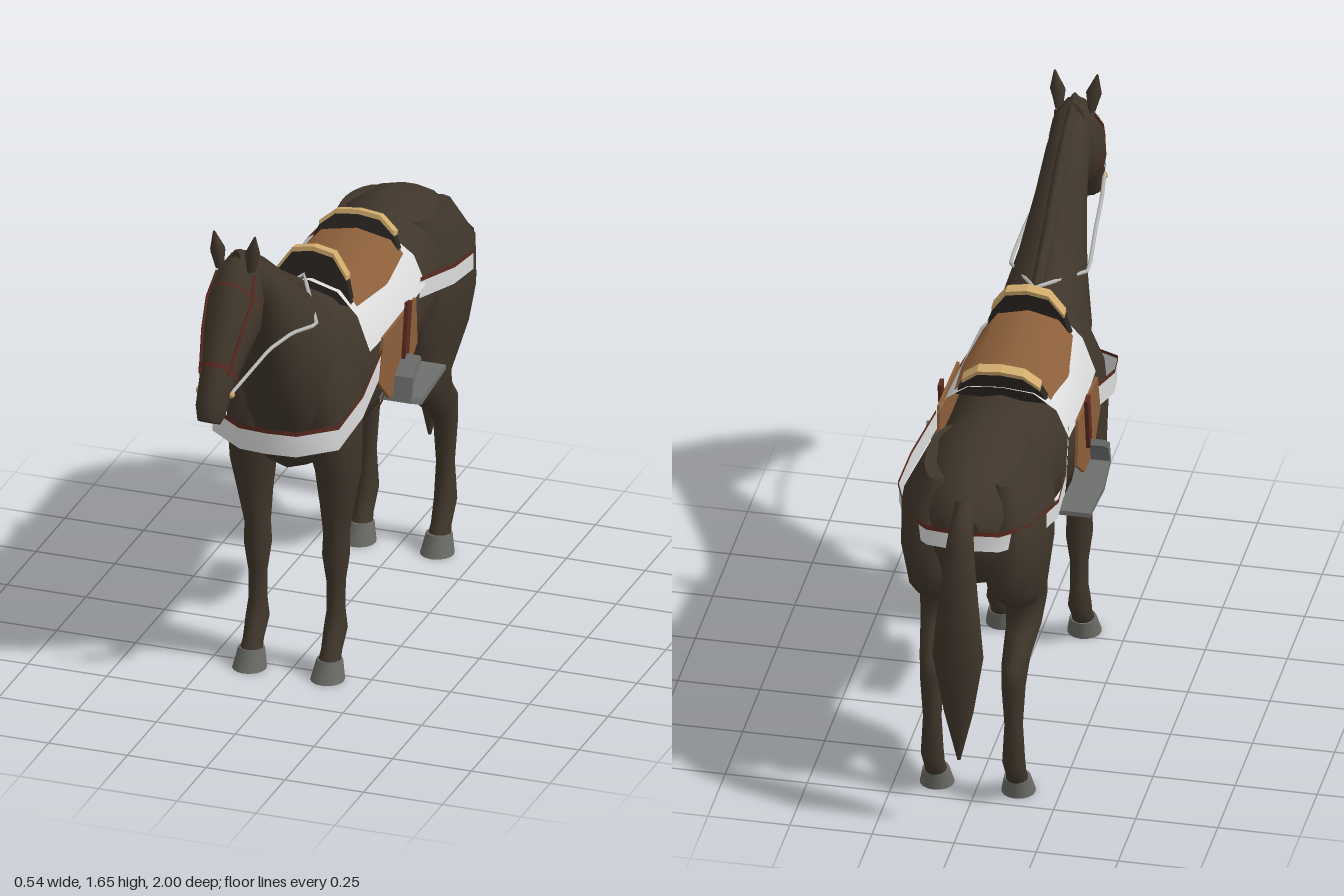
import * as THREE from 'three';

const mat = (name, color, side = THREE.FrontSide) => {
  const m = new THREE.MeshStandardMaterial({ color, side });
  m.name = name;
  return m;
};

export function createModel() {
  const model = new THREE.Group();
  const coat = mat('darkCoat', 0x40362b);
  const hoofGrey = mat('hoofGrey', 0x6a6a66);
  const cloth = mat('whiteCloth', 0xdcdcdc, THREE.DoubleSide);
  const leather = mat('saddleLeather', 0x8c5f3a, THREE.DoubleSide);
  const red = mat('redLeather', 0x5c2a20, THREE.DoubleSide);
  const black = mat('blackLacquer', 0x2b2622);
  const gold = mat('paleGold', 0xd0ab6c);
  const iron = mat('iron', 0x6e706e);
  const rope = mat('rope', 0xb9b9b6);

  const add = (name, geo, material) => {
    const mesh = new THREE.Mesh(geo, material);
    mesh.name = name;
    model.add(mesh);
    return mesh;
  };

  // Skin over rows of points, optionally closed into rings with end caps
  function skin(rows, closed = false, caps = false) {
    const n = rows[0].length, pos = rows.flat(2), index = [];
    for (let r = 0; r < rows.length - 1; r++) {
      for (let i = 0; i < (closed ? n : n - 1); i++) {
        const a = r * n + i, b = r * n + (i + 1) % n;
        index.push(a, a + n, b, b, a + n, b + n);
      }
    }
    if (caps) {
      [rows[0], rows[rows.length - 1]].forEach((row, end) => {
        const base = pos.length / 3;
        pos.push(...row.flat());
        for (let i = 1; i < n - 1; i++) {
          index.push(base, base + (end ? i + 1 : i), base + (end ? i : i + 1));
        }
      });
    }
    const g = new THREE.BufferGeometry();
    g.setAttribute('position', new THREE.Float32BufferAttribute(pos, 3));
    g.setIndex(index);
    g.computeVertexNormals();
    return g;
  }

  // Section: [z1, y1, z2, y2, half width, x centre]; t = 0 is the first end
  function at([z1, y1, z2, y2, w, cx = 0], t, grow = 0) {
    const len = Math.hypot(z1 - z2, y1 - y2) / 2;
    const c = Math.cos(t) * (1 + grow / len) / 2;
    return [cx + (w + grow) * Math.sin(t), (y1 + y2) / 2 + (y1 - y2) * c, (z1 + z2) / 2 + (z1 - z2) * c];
  }
  const ring = (s, grow, n = 16) => Array.from({ length: n }, (_, i) => at(s, i / n * Math.PI * 2, grow));
  const loft = (name, secs, material = coat, n = 16) =>
    add(name, skin(secs.map(s => ring(s, 0, n)), true, true), material);

  // Trunk, neck and head
  loft('body', [
    [-.87, 1.05, -.87, .9, .06], [-.82, 1.12, -.83, .8, .14], [-.7, 1.18, -.7, .73, .19],
    [-.58, 1.205, -.55, .74, .2], [-.4, 1.17, -.4, .72, .185], [-.15, 1.13, -.15, .67, .197],
    [.05, 1.16, .05, .655, .193], [.18, 1.215, .2, .65, .18], [.28, 1.17, .3, .68, .155], [.35, 1.1, .38, .82, .1],
  ]);
  loft('neck', [
    [.1, 1.18, .31, .7, .16], [.22, 1.235, .42, .88, .14], [.35, 1.33, .49, 1.03, .105],
    [.5, 1.44, .56, 1.2, .08], [.62, 1.52, .61, 1.33, .068], [.72, 1.57, .66, 1.36, .06],
  ]);
  const head = [
    [.7, 1.575, .64, 1.4, .05], [.77, 1.56, .64, 1.34, .072], [.82, 1.495, .71, 1.28, .086],
    [.88, 1.41, .8, 1.235, .074], [.95, 1.28, .86, 1.185, .053], [.997, 1.2, .925, 1.12, .046], [1, 1.14, .95, 1.11, .036],
  ];
  loft('head', head);
  loft('maneCrest', [
    [.18, 1.25, .2, 1.19, .02], [.35, 1.352, .37, 1.29, .022], [.5, 1.46, .52, 1.4, .022],
    [.62, 1.537, .63, 1.47, .02], [.74, 1.588, .74, 1.52, .015],
  ], coat, 8);
  loft('tail', [
    [-.83, 1.07, -.85, 1.1, .03], [-.87, 1.0, -.92, 1.06, .036], [-.885, .92, -.955, .99, .045],
    [-.89, .8, -.985, .82, .06], [-.89, .62, -1, .62, .078], [-.9, .42, -.968, .42, .045], [-.925, .25, -.935, .25, .005],
  ]);

  // Legs, hooves and ears on both sides
  for (const s of [1, -1]) {
    const side = s > 0 ? 'left' : 'right';
    const pair = (name, secs, material, n) =>
      loft(side + name, secs.map(([a, b, c, d, w, x]) => [a, b, c, d, w, x * s]), material, n);
    pair('FrontLeg', [
      [.27, 1.1, .16, 1.1, .05, .1], [.35, .96, .1, .96, .085, .11], [.36, .82, .11, .8, .085, .12],
      [.31, .67, .14, .65, .068, .135], [.29, .55, .15, .55, .05, .13], [.265, .45, .165, .45, .038, .125],
      [.27, .38, .16, .38, .04, .124], [.25, .29, .18, .29, .028, .124], [.25, .2, .18, .2, .027, .124],
      [.265, .15, .17, .13, .034, .124], [.295, .09, .215, .07, .03, .124], [.31, .05, .24, .05, .035, .124],
    ], coat);
    pair('FrontHoof', [[.31, .062, .23, .055, .04, .124], [.342, 0, .235, 0, .052, .124]], hoofGrey);
    pair('HindLeg', [
      [-.5, 1.15, -.78, 1.12, .06, .1], [-.46, 1.02, -.85, 1, .1, .125], [-.45, .86, -.865, .86, .105, .12],
      [-.46, .76, -.83, .75, .09, .12], [-.48, .68, -.74, .68, .072, .125], [-.49, .62, -.66, .64, .062, .13],
      [-.51, .55, -.7, .56, .052, .13], [-.62, .465, -.78, .49, .04, .125], [-.685, .4, -.775, .41, .036, .124],
      [-.7, .27, -.757, .27, .028, .124], [-.69, .16, -.77, .14, .034, .124],
      [-.655, .09, -.73, .07, .03, .124], [-.64, .05, -.71, .05, .035, .124],
    ], coat);
    pair('HindHoof', [[-.635, .062, -.715, .055, .04, .124], [-.605, 0, -.71, 0, .052, .124]], hoofGrey);
    pair('Ear', [[.725, 1.53, .765, 1.53, .012, .05], [.725, 1.59, .775, 1.585, .024, .055],
      [.752, 1.648, .758, 1.648, .003, .065]], coat, 8);
  }

  // Straps that mirror a half path about the middle
  const mirrored = half => [...half.slice(1).reverse().map(([x, y, z]) => [-x, y, z]), ...half];
  const ribbon = (pts, lo, hi, grow = 1) => skin([lo, hi].map(h => pts.map(([x, y, z]) => [x * grow, y + h, z])));
  function strap(name, half, h) {
    const pts = mirrored(half);
    add(name, ribbon(pts, -h / 2, h / 2), cloth);
    const rim = pts.map(([x, y, z]) => [x, y, z + Math.sign(z) * .003]);
    add(name + 'Trim', ribbon(rim, h / 2 - .006, h / 2 + .008, 1.01), red);
  }
  strap('breastStrap', [[0, .838, .475], [.09, .838, .467], [.2, .85, .4], [.222, .895, .25], [.21, .965, .03]], .075);
  strap('rumpStrap', [[0, .98, -.888], [.11, .98, -.875], [.185, .975, -.8], [.242, .985, -.65], [.235, 1, -.5], [.2, 1.035, -.3]], .06);

  // Saddle cloth and seat draped over the back
  const drape = (name, rows, material) =>
    add(name, skin(rows.map(([z, half]) => mirrored(half.map(([x, y]) => [x, y, z])))), material);
  drape('saddleCloth', [
    [.115, [[0, 1.215], [.09, 1.19], [.155, 1.12], [.195, 1.01]]],
    [-.1, [[0, 1.185], [.1, 1.17], [.165, 1.12], [.205, 1.015]]],
    [-.33, [[0, 1.19], [.1, 1.18], [.17, 1.13], [.208, 1.04]]],
  ], cloth);
  drape('saddleSeat', [
    [.08, [[0, 1.235], [.09, 1.21], [.14, 1.135]]],
    [-.1, [[0, 1.205], [.1, 1.19], [.16, 1.125]]],
    [-.3, [[0, 1.205], [.11, 1.185], [.17, 1.12]]],
  ], leather);

  // Plate outlined in z and y, reaching inward from x
  function plate(name, pts, x, depth, material) {
    const shape = new THREE.Shape(pts.map(p => new THREE.Vector2(...p)));
    const g = new THREE.ExtrudeGeometry(shape, { depth, bevelEnabled: false });
    g.rotateY(-Math.PI / 2);
    return add(name, g, material).position.set(x, 0, 0);
  }
  const flap = [[.05, 1.03], [.09, .9], [0, .81], [-.14, .81], [-.24, .89], [-.23, 1.04]];
  const stirrup = [[-.11, .912], [-.045, .865], [-.025, .79], [-.12, .745], [-.33, .77],
    [-.33, .785], [-.12, .765], [-.045, .8], [-.065, .855], [-.12, .895]];
  for (const s of [1, -1]) {
    const side = s > 0 ? 'left' : 'right';
    plate(side + 'SaddleFlap', flap, s > 0 ? .215 : -.206, .009, leather);
    plate(side + 'Stirrup', stirrup, s > 0 ? .272 : -.172, .1, iron);
    const hanger = add(side + 'StirrupLeather', new THREE.BoxGeometry(.012, .18, .035), red);
    hanger.position.set(s * .223, .98, -.125);
    hanger.rotation.x = -.17;
  }
  const girth = [-.01, -.05].map(z => Array.from({ length: 17 }, (_, i) => {
    const t = Math.PI * (.5 + i / 16);
    return [.204 * Math.sin(t), .9 + .25 * Math.cos(t), z];
  }));
  add('girth', skin(girth), red);

  // Pommel and cantle: dark arches with a gold top edge
  function arch(name, z, y, w, h, lean) {
    const top = [[w * .85, h * .5], [w * .5, h * .92], [0, h], [-w * .5, h * .92], [-w * .85, h * .5]];
    const cap = [...top, ...top.slice().reverse().map(([a, b]) => [a, b + .014])].reverse();
    const make = (pts, depth) => new THREE.ExtrudeGeometry(
      new THREE.Shape(pts.map(p => new THREE.Vector2(...p))), { depth, bevelEnabled: false }).translate(0, 0, -depth / 2);
    const parts = [add(name, make([[-w, 0], [w, 0], ...top], .03), black),
      add(name + 'Edge', make(cap, .034), gold)];
    parts.forEach(p => { p.position.set(0, y, z); p.rotation.x = lean; });
  }
  arch('pommel', .085, 1.14, .13, .155, -.14);
  arch('cantle', -.3, 1.145, .14, .1, -.25);

  // Bridle, bit and reins
  const mix = (a, b, t) => a.map((v, i) => v + (b[i] - v) * t);
  const headBand = (name, i, t) => add(name,
    skin([t, t + .1].map(k => ring(mix(head[i], head[i + 1], k), .004)), true), red);
  headBand('browBand', 1, .75);
  headBand('noseBand', 3, .8);
  const tube = (name, pts, r, material) => {
    const path = new THREE.CurvePath();
    const v = pts.map(p => new THREE.Vector3(...p));
    for (let i = 1; i < v.length; i++) path.add(new THREE.LineCurve3(v[i - 1], v[i]));
    return add(name, new THREE.TubeGeometry(path, 40, r, 6), material);
  };
  for (const s of [1, -1]) {
    const side = s > 0 ? 'left' : 'right';
    tube(side + 'CheekStrap', [1, 2, 3, 4].map(i => at(head[i], s * .95, .001)), .005, red);
    const bit = add(side + 'Bit', new THREE.SphereGeometry(.012, 8, 6), gold);
    bit.position.set(s * .05, 1.2, .92);
  }
  tube('reins', mirrored([[0, 1.252, .155], [.12, 1.2, .37], [.105, 1.245, .54], [.09, 1.258, .7], [.052, 1.205, .915]]), .006, rope);

  return model;
}
